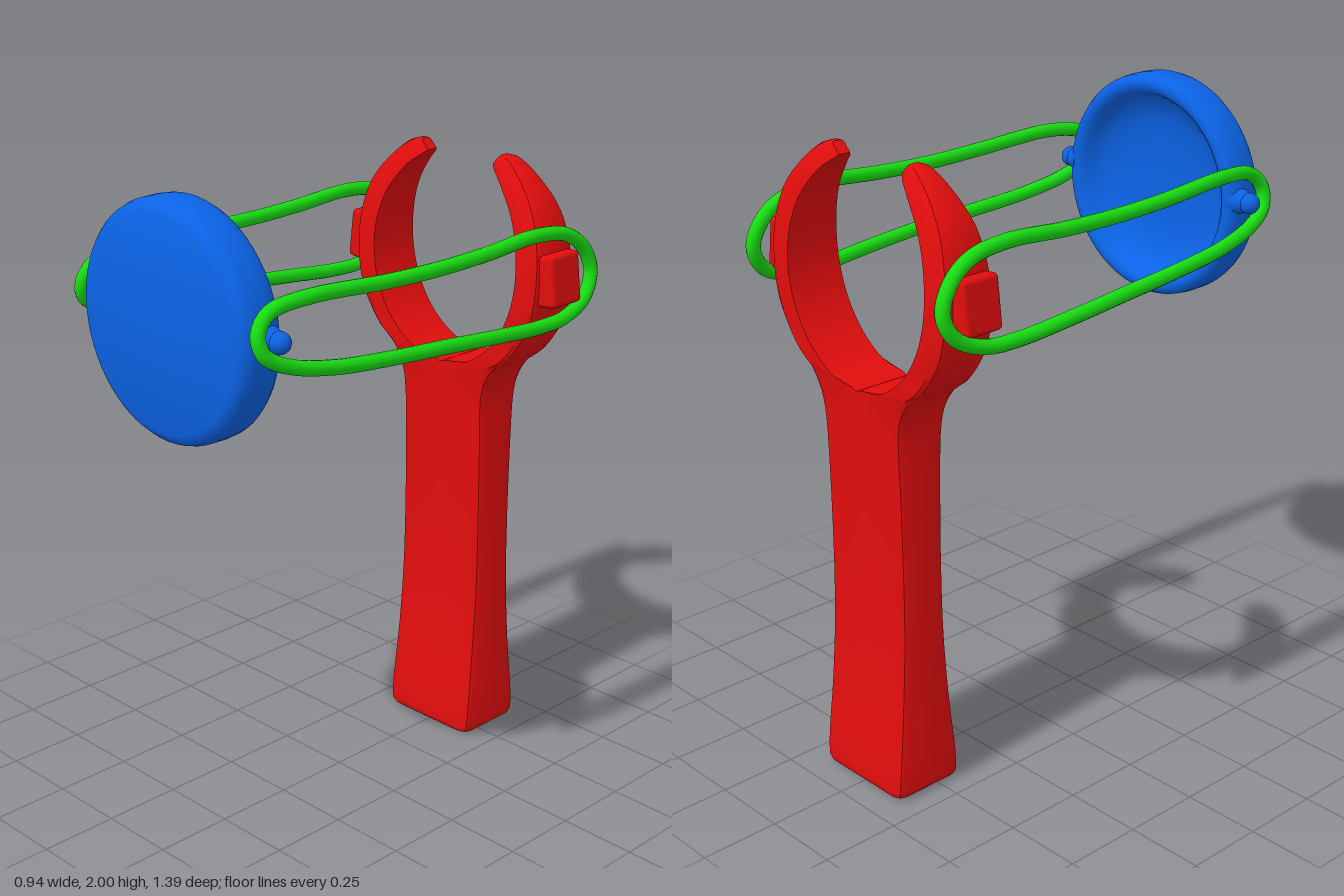
import * as THREE from 'three';
import { toCreasedNormals } from 'three/addons/utils/BufferGeometryUtils.js';
import { RoundedBoxGeometry } from 'three/addons/geometries/RoundedBoxGeometry.js';

const V = (x, y, z = 0) => new THREE.Vector3(x, y, z);
const FRAME_Z = -0.543;

// Half of the Y frame: [inner x, inner y, outer x, outer y, half depth]
const SECTIONS = [
  [0, 0, 0.155, 0, 0.108], [0, 0.012, 0.174, 0.012, 0.119], [0, 0.05, 0.18, 0.05, 0.12],
  [0, 0.3, 0.175, 0.3, 0.097], [0, 0.55, 0.172, 0.55, 0.082], [0, 1.0, 0.17, 1.0, 0.083],
  [0, 1.18, 0.173, 1.18, 0.089], [0, 1.24, 0.187, 1.24, 0.092], [0, 1.28, 0.22, 1.295, 0.094],
  [0.103, 1.3, 0.28, 1.345, 0.095], [0.193, 1.36, 0.33, 1.41, 0.095], [0.26, 1.45, 0.365, 1.48, 0.095],
  [0.295, 1.56, 0.382, 1.57, 0.093], [0.295, 1.68, 0.38, 1.69, 0.087], [0.26, 1.79, 0.345, 1.81, 0.073],
  [0.193, 1.88, 0.275, 1.9, 0.052], [0.15, 1.915, 0.2, 1.955, 0.032], [0.135, 1.928, 0.165, 1.96, 0.02],
];

function halfFrame(side) {
  const inner = new THREE.CatmullRomCurve3(SECTIONS.map(s => V(s[0], s[1], s[4])));
  const outer = new THREE.CatmullRomCurve3(SECTIONS.map(s => V(s[2], s[3])));
  const steps = (SECTIONS.length - 1) * 4, pos = [], index = [], n = 8;
  for (let i = 0; i <= steps; i++) {
    const a = inner.getPoint(i / steps), o = outer.getPoint(i / steps);
    const d = a.z;
    a.z = 0;
    a.x = Math.max(0, a.x);
    const w = a.distanceTo(o), b = Math.min(0.028, w * 0.4, d * 0.5);
    const ring = [
      [0, -d], [0, d], [w - b, d], [w - b * 0.3, d - b * 0.3],
      [w, d - b], [w, b - d], [w - b * 0.3, b * 0.3 - d], [w - b, -d],
    ];
    for (const [u, z] of ring) {
      const p = a.clone().lerp(o, u / w);
      pos.push(side * p.x, p.y, z);
    }
  }
  const tri = (a, b, c) => (side > 0 ? index.push(a, b, c) : index.push(a, c, b));
  for (let i = 0; i < steps; i++) {
    for (let j = 0; j < n; j++) {
      const a = i * n + j, b = i * n + (j + 1) % n;
      tri(a, b, b + n);
      tri(a, b + n, a + n);
    }
  }
  // End caps
  for (let j = 1; j < n - 1; j++) {
    tri(0, j + 1, j);
    tri(steps * n, steps * n + j, steps * n + j + 1);
  }
  const g = new THREE.BufferGeometry();
  g.setAttribute('position', new THREE.Float32BufferAttribute(pos, 3));
  g.setIndex(index);
  return toCreasedNormals(g, 0.6);
}

export function createModel() {
  const model = new THREE.Group();
  const red = new THREE.MeshStandardMaterial({ color: 0xe30d0d });
  const green = new THREE.MeshStandardMaterial({ color: 0x18dd12 });
  const blue = new THREE.MeshStandardMaterial({ color: 0x0b63e6 });
  const add = (name, geometry, material, x = 0, y = 0, z = 0) => {
    const mesh = new THREE.Mesh(geometry, material);
    mesh.name = name;
    mesh.position.set(x, y, z);
    model.add(mesh);
    return mesh;
  };

  // Shallow cup, open towards the frame: [radius, z]
  const profile = [
    [0, 0.65], [0.12, 0.648], [0.2, 0.64], [0.255, 0.62], [0.283, 0.59], [0.295, 0.565], [0.308, 0.553],
    [0.325, 0.55], [0.34, 0.556], [0.35, 0.572], [0.353, 0.6], [0.352, 0.65], [0.345, 0.672],
    [0.332, 0.687], [0.312, 0.695], [0, 0.697],
  ].map(([r, z]) => new THREE.Vector2(r, z));
  const cup = new THREE.LatheGeometry(profile, 64);
  cup.rotateX(Math.PI / 2);
  add('cup', toCreasedNormals(cup, 0.7), blue, 0, 1.648, 0);

  for (const side of [1, -1]) {
    const label = side > 0 ? 'left' : 'right';

    // Handle half and fork arm
    add(label + 'FrameHalf', halfFrame(side), red, 0, 0, FRAME_Z);

    // Block on the arm that holds the band
    const peg = add(label + 'Peg', new RoundedBoxGeometry(0.085, 0.16, 0.135, 3, 0.015), red,
      side * 0.388, 1.615, FRAME_Z + 0.005);
    peg.rotation.z = side * 0.12;

    // Tapered lug with a ball end on the cup
    const lug = new THREE.CylinderGeometry(0.025, 0.048, 0.06, 20);
    lug.rotateZ(-side * Math.PI / 2);
    add(label + 'Lug', lug, blue, side * 0.355, 1.665, 0.595);
    add(label + 'LugBall', new THREE.SphereGeometry(0.032, 20, 14), blue, side * 0.382, 1.665, 0.595);

    // Elastic loop from cup to arm
    const path = [
      [0.365, 1.755, 0.6], [0.38, 1.77, 0.48], [0.395, 1.757, 0.2], [0.397, 1.752, 0], [0.4, 1.757, -0.2],
      [0.4, 1.77, -0.43], [0.402, 1.75, -0.56], [0.408, 1.7, -0.635], [0.415, 1.62, -0.67],
      [0.425, 1.545, -0.63], [0.434, 1.505, -0.53], [0.44, 1.5, -0.42], [0.447, 1.518, -0.2],
      [0.445, 1.535, 0], [0.437, 1.548, 0.2], [0.42, 1.568, 0.43], [0.4, 1.6, 0.58],
      [0.385, 1.64, 0.652], [0.373, 1.69, 0.666], [0.366, 1.73, 0.643],
    ].map(([x, y, z]) => V(side * x, y, z));
    const curve = new THREE.CatmullRomCurve3(path, true);
    add(label + 'Band', new THREE.TubeGeometry(curve, 160, 0.022, 12, true), green);
  }
  return model;
}
